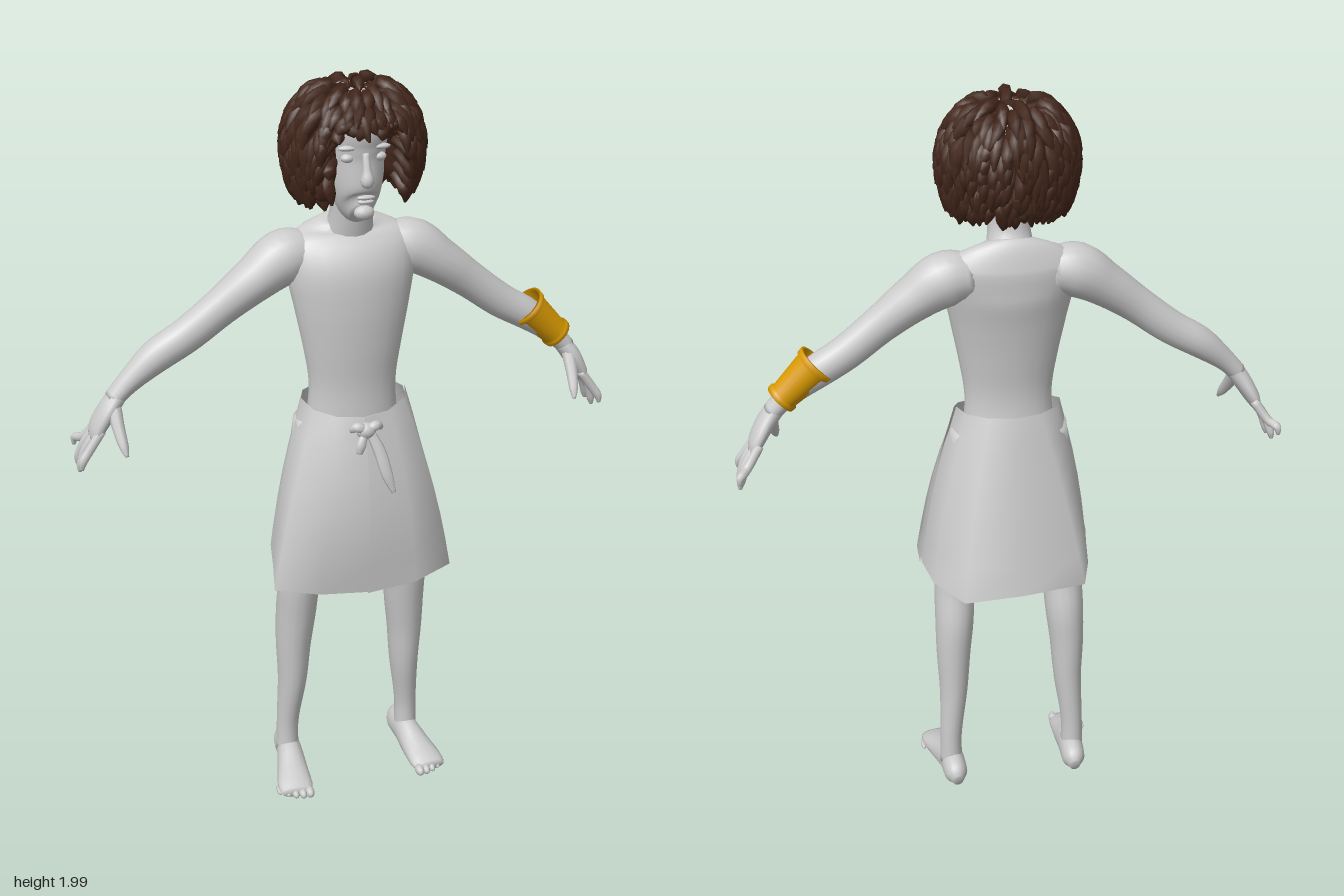
import * as THREE from 'three';
import { mergeGeometries } from 'three/addons/utils/BufferGeometryUtils.js';

const V = (x, y, z) => new THREE.Vector3(x, y, z);
const X = V(1, 0, 0), Z = V(0, 0, 1);
const skin = new THREE.MeshStandardMaterial({ color: 0xcccccc });
const cloth = new THREE.MeshStandardMaterial({ color: 0xcccccc, side: THREE.DoubleSide });
const gold = new THREE.MeshStandardMaterial({ color: 0xd99a00, side: THREE.DoubleSide });
const brown = new THREE.MeshStandardMaterial({ color: 0x42261a });

// Skin a list of rings; closed rings wrap round, caps fill both ends
function loft(rings, closed = true, caps = true) {
  const n = rings[0].length, pos = [], idx = [];
  rings.forEach(r => r.forEach(p => pos.push(p.x, p.y, p.z)));
  for (let j = 0; j < rings.length - 1; j++) {
    for (let i = 0; i < (closed ? n : n - 1); i++) {
      const a = j * n + i, b = j * n + (i + 1) % n;
      idx.push(a, b, b + n, a, b + n, a + n);
    }
  }
  if (caps) {
    [0, rings.length - 1].forEach((j, end) => {
      const c = rings[j].reduce((s, p) => s.add(p), V(0, 0, 0)).divideScalar(n);
      const ci = pos.length / 3;
      pos.push(c.x, c.y, c.z);
      for (let i = 0; i < n; i++) {
        const a = j * n + i, b = j * n + (i + 1) % n;
        if (end) idx.push(ci, a, b); else idx.push(ci, b, a);
      }
    });
  }
  const g = new THREE.BufferGeometry();
  g.setAttribute('position', new THREE.Float32BufferAttribute(pos, 3));
  g.setIndex(idx);
  g.computeVertexNormals();
  return g;
}

// Smooth body through points [x, y, z, radius along ref, radius across]
function limb(pts, ref = Z, sides = 16, segs = pts.length * 4) {
  const path = new THREE.CatmullRomCurve3(pts.map(p => V(p[0], p[1], p[2])));
  const rad = new THREE.CatmullRomCurve3(pts.map(p => V(p[3], p[4] ?? p[3], 0)), false, 'catmullrom');
  const rings = [];
  for (let j = 0; j <= segs; j++) {
    const t = j / segs, c = path.getPoint(t), r = rad.getPoint(t), d = path.getTangent(t);
    const u = ref.clone().addScaledVector(d, -ref.dot(d)).normalize();
    const v = d.clone().cross(u);
    rings.push(Array.from({ length: sides }, (_, i) => {
      const a = i / sides * Math.PI * 2;
      return c.clone().addScaledVector(u, r.x * Math.cos(a)).addScaledVector(v, r.y * Math.sin(a));
    }));
  }
  return loft(rings);
}

const flip = (pts, s) => pts.map(([x, ...rest]) => [x * s, ...rest]);
const blob = (x, y, z, rx, ry, rz) =>
  new THREE.SphereGeometry(1, 12, 8).scale(rx, ry, rz).translate(x, y, z);

let seed = 7;
const rnd = () => (seed = (seed * 16807) % 2147483647) / 2147483647;

// Hair: lowest polar angle reached at each azimuth (0 = front)
function hairEnd(az) {
  const a = Math.abs(Math.atan2(Math.sin(az), Math.cos(az)));
  return THREE.MathUtils.lerp(1.28, 2.4, THREE.MathUtils.smoothstep(a, 0.5, 0.8));
}
function hairPoint(az, phi, k) {
  const h = phi > Math.PI / 2 ? 0.5 + 0.5 * Math.sin(phi) : Math.sin(phi);
  return V(0.17 * k * h * Math.sin(az), 1.82 + 0.165 * k * Math.cos(phi), 0.03 + 0.15 * k * h * Math.cos(az));
}
function hairGeometry() {
  const parts = [], count = 380;
  for (let i = 0; i < count; i++) {
    const phi = Math.acos(1 - 1.65 * (i + 0.5) / count), az = i * 2.39996;
    const end = hairEnd(az);
    if (phi > end - 0.1) continue;
    const stop = Math.min(phi + 0.5 + 0.3 * rnd(), end + 0.2 * (rnd() - 0.4));
    const drift = 0.35 * (rnd() - 0.5), tip = 0.97 + 0.1 * rnd();
    const pts = [[0, 0.72, 0.012], [0.35, 0.93, 0.017], [0.7, 0.99, 0.015], [1, tip, 0.003]].map(([t, k, r]) => {
      const p = hairPoint(az + drift * t, phi + (stop - phi) * t, k);
      return [p.x, p.y, p.z, r, r];
    });
    parts.push(limb(pts, V(Math.sin(az), 0.35, Math.cos(az)).normalize(), 6, 6));
  }
  // Undercap, sunk into the head where the face is
  const rings = [];
  for (let j = 12; j >= 0; j--) {
    rings.push(Array.from({ length: 32 }, (_, i) => {
      const az = i / 32 * Math.PI * 2, phi = 0.05 + j / 12 * 2.2;
      return hairPoint(az, phi, phi > hairEnd(az) - 0.1 ? 0.4 : 0.84);
    }));
  }
  parts.push(loft(rings));
  return mergeGeometries(parts);
}

// Kilt outline at the hem, from the front centre round by the left
const HEM = [[0, 0.64, 0.165], [0.13, 0.655, 0.17], [0.232, 0.68, 0.15], [0.24, 0.7, 0.03],
  [0.225, 0.7, -0.08], [0.16, 0.7, -0.195], [0, 0.69, -0.175], [-0.17, 0.7, -0.165],
  [-0.205, 0.7, -0.06], [-0.225, 0.69, 0.04], [-0.25, 0.68, 0.15], [-0.13, 0.655, 0.165]];
function kiltRow(t, out = 0) {
  return HEM.map((h, i) => {
    const a = i / 12 * Math.PI * 2, c = Math.cos(a), s = Math.sin(a), bulge = Math.sin(Math.PI * t);
    const top = V(0.138 * s, 1.165 - 0.03 * Math.max(c, 0), 0.03 + 0.1 * c);
    const p = V(...h).lerp(top, t);
    p.z += 0.033 * bulge * Math.max(c, 0) + out * c;
    p.x += 0.012 * bulge * s + out * s;
    return p;
  });
}

export function createModel() {
  const root = new THREE.Group();
  const add = (name, geo, mat = skin, parent = root) => {
    const m = new THREE.Mesh(geo, mat);
    m.name = name;
    parent.add(m);
    return m;
  };

  // Trunk and neck
  add('torso', limb([[0, 0.95, 0.01, 0.09, 0.13], [0, 1.1, 0.025, 0.078, 0.122], [0, 1.2, 0.03, 0.07, 0.116],
    [0, 1.3, 0.03, 0.077, 0.13], [0, 1.42, 0.024, 0.087, 0.153], [0, 1.5, 0.013, 0.09, 0.168],
    [0, 1.565, -0.005, 0.072, 0.175], [0, 1.602, -0.008, 0.052, 0.13], [0, 1.625, 0, 0.04, 0.06]], Z, 24));
  add('neck', limb([[0, 1.57, -0.008, 0.06, 0.07], [0, 1.64, 0.018, 0.048, 0.055], [0, 1.73, 0.03, 0.05, 0.055]]));

  // Head and face
  const head = new THREE.Group();
  head.name = 'head';
  root.add(head);
  add('skull', limb([[0, 1.655, 0.095, 0.035, 0.025], [0, 1.68, 0.07, 0.067, 0.05], [0, 1.73, 0.05, 0.088, 0.067],
    [0, 1.78, 0.035, 0.1, 0.076], [0, 1.82, 0.03, 0.107, 0.082], [0, 1.87, 0.03, 0.113, 0.087],
    [0, 1.92, 0.03, 0.095, 0.075], [0, 1.955, 0.03, 0.05, 0.04]], Z, 24), skin, head);
  add('nose', limb([[0, 1.815, 0.132, 0.008, 0.008], [0, 1.775, 0.142, 0.014, 0.011],
    [0, 1.75, 0.145, 0.02, 0.017], [0, 1.738, 0.138, 0.008, 0.01]], Z, 10), skin, head);
  add('upperLip', blob(0, 1.709, 0.136, 0.024, 0.006, 0.009), skin, head);
  add('lowerLip', blob(0, 1.698, 0.134, 0.021, 0.006, 0.009), skin, head);
  add('chin', blob(0, 1.668, 0.122, 0.026, 0.018, 0.018), skin, head);
  for (const s of [1, -1]) {
    add('eye', blob(s * 0.04, 1.802, 0.116, 0.017, 0.011, 0.013), skin, head);
    add('brow', blob(s * 0.04, 1.827, 0.121, 0.026, 0.007, 0.012), skin, head);
    add('ear', blob(s * 0.083, 1.785, 0.02, 0.012, 0.033, 0.02), skin, head);
  }
  add('hair', hairGeometry(), brown);

  for (const s of [1, -1]) {
    const side = s > 0 ? 'left' : 'right';
    // Arm and hand
    add(side + 'Arm', limb(flip([[0.1, 1.54, -0.008, 0.055, 0.055], [0.165, 1.535, -0.006, 0.068, 0.07],
      [0.24, 1.49, 0, 0.062, 0.058], [0.33, 1.425, 0, 0.046, 0.048], [0.42, 1.358, -0.004, 0.042, 0.045],
      [0.5, 1.31, -0.006, 0.042, 0.042], [0.575, 1.25, -0.002, 0.032, 0.029], [0.615, 1.21, 0, 0.03, 0.024]], s)));
    const hand = new THREE.Group();
    hand.name = side + 'Hand';
    root.add(hand);
    add('palm', limb(flip([[0.6, 1.225, 0, 0.028, 0.024], [0.63, 1.185, 0, 0.042, 0.024],
      [0.657, 1.14, -0.008, 0.048, 0.02], [0.668, 1.115, -0.01, 0.04, 0.013]], s)), skin, hand);
    [[0.028, 0.035, 1.045], [0.002, -0.008, 1.022], [-0.024, -0.048, 1.026], [-0.046, -0.092, 1.06]].forEach(([z0, z1, y]) =>
      add('finger', limb(flip([[0.652, 1.14, z0, 0.012], [0.688, 1.09, (z0 + z1) / 2, 0.012],
        [0.705, y + 0.02, z1, 0.011], [0.709, y, z1 * 1.04, 0.005]], s), Z, 8), skin, hand));
    add('thumb', limb(flip([[0.615, 1.195, 0.018, 0.018], [0.613, 1.155, 0.05, 0.016],
      [0.607, 1.115, 0.083, 0.012], [0.603, 1.095, 0.098, 0.005]], s), X, 8), skin, hand);

    // Leg and foot
    add(side + 'Leg', limb(flip([[0.085, 1.1, 0.02, 0.07, 0.07], [0.115, 0.85, 0.03, 0.078, 0.075],
      [0.15, 0.64, 0.033, 0.062, 0.058], [0.157, 0.52, 0.012, 0.064, 0.054], [0.163, 0.42, 0.003, 0.058, 0.048],
      [0.166, 0.3, -0.004, 0.05, 0.04], [0.178, 0.15, -0.018, 0.036, 0.031], [0.18, 0.05, -0.02, 0.036, 0.032]], s)));
    const sole = limb(flip([[0.172, 0.03, -0.1, 0.014, 0.02], [0.174, 0.04, -0.075, 0.032, 0.042],
      [0.178, 0.045, -0.01, 0.035, 0.048], [0.187, 0.03, 0.06, 0.043, 0.037],
      [0.196, 0.02, 0.12, 0.049, 0.024], [0.199, 0.016, 0.152, 0.042, 0.014]], s), X);
    const p = sole.attributes.position;
    for (let i = 0; i < p.count; i++) p.setY(i, Math.max(0, p.getY(i)));
    sole.computeVertexNormals();
    const foot = new THREE.Group();
    foot.name = side + 'Foot';
    root.add(foot);
    add('sole', sole, skin, foot);
    for (let i = 0; i < 5; i++) {
      const r = 0.015 - 0.0015 * i;
      add('toe', blob(s * (0.164 + i * 0.0195), r, 0.155 - 0.0025 * i * i, r * 0.85, r, 0.022), skin, foot);
    }
  }

  // Flared bracelet on the left forearm
  const cuff = add('bracelet', new THREE.LatheGeometry([[0.034, 0], [0.042, 0], [0.043, 0.012], [0.038, 0.017],
    [0.049, 0.116], [0.054, 0.12], [0.056, 0.135], [0.046, 0.135], [0.034, 0]].map(q => new THREE.Vector2(...q)), 24), gold);
  cuff.position.set(0.59, 1.245, -0.004);
  cuff.quaternion.setFromUnitVectors(V(0, 1, 0), V(-0.1, 0.092, 0).normalize());

  // Wrapped kilt with an overlapping front panel, knot and hanging ends
  const steps = [0, 0.17, 0.33, 0.5, 0.67, 0.83, 1];
  add('kilt', loft(steps.map(t => kiltRow(t)), true, false), cloth);
  add('kiltOverlap', loft(steps.map(t => kiltRow(t, 0.006).slice(0, 4)), false, false), cloth);
  add('knot', blob(0, 1.105, 0.148, 0.026, 0.022, 0.02), cloth);
  for (const s of [1, -1]) {
    add('knotLoop', limb([[0, 1.105, 0.152, 0.01, 0.012], [s * 0.025, 1.118, 0.152, 0.012, 0.014],
      [s * 0.042, 1.108, 0.145, 0.005, 0.007]], Z, 8), cloth);
  }
  add('knotEnd', limb([[0.01, 1.1, 0.152, 0.008, 0.012], [0.03, 1.05, 0.168, 0.008, 0.016],
    [0.045, 0.99, 0.184, 0.006, 0.015], [0.062, 0.94, 0.19, 0.003, 0.006]], Z, 8), cloth);
  add('knotShortEnd', limb([[-0.005, 1.1, 0.152, 0.008, 0.01], [-0.018, 1.07, 0.163, 0.007, 0.013],
    [-0.024, 1.05, 0.166, 0.003, 0.008]], Z, 8), cloth);

  return root;
}
